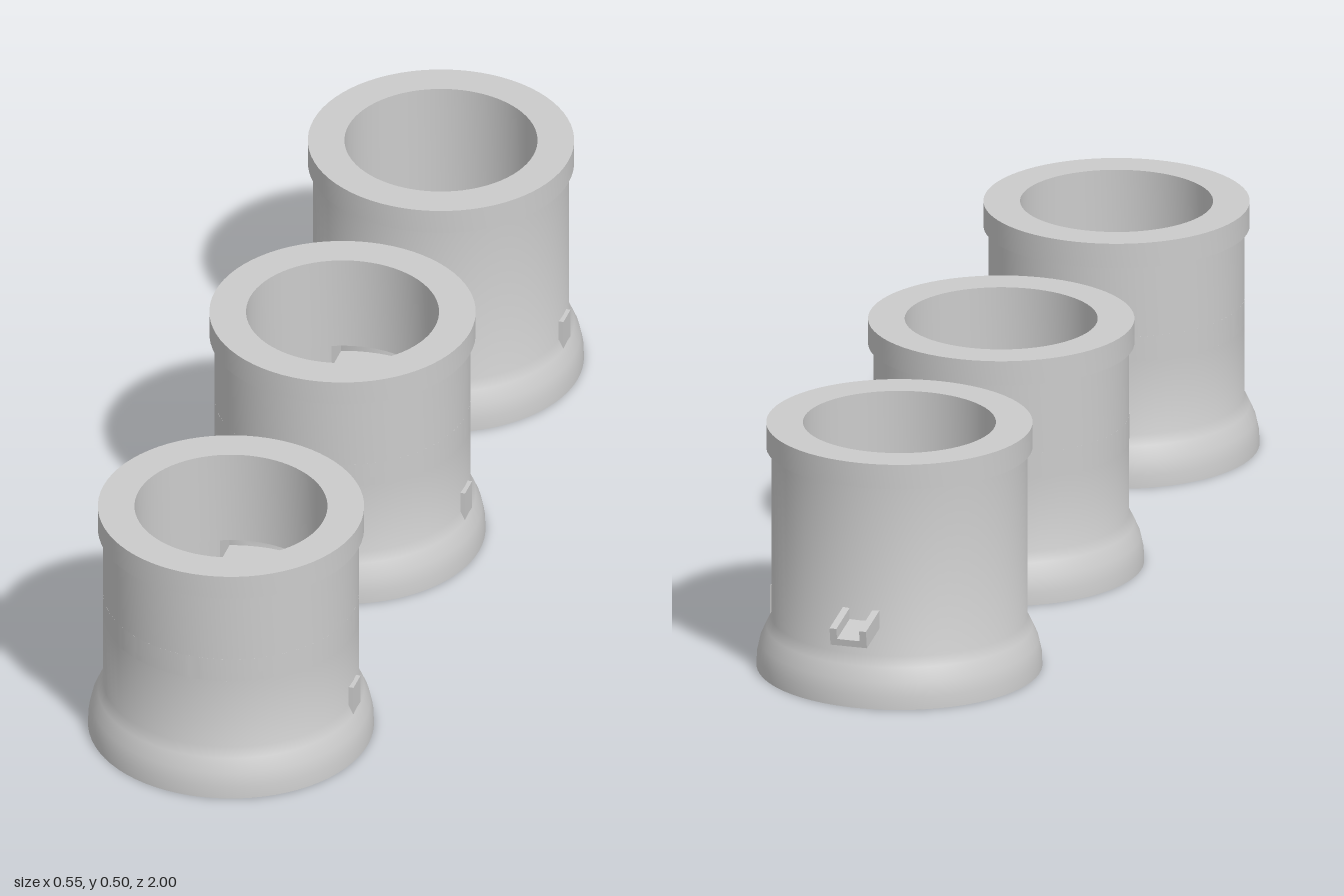
import * as THREE from 'three';
import { toCreasedNormals } from 'three/addons/utils/BufferGeometryUtils.js';

const SEG = 72;
const R_BODY = 0.248, R_IN = 0.187, R_RIM = 0.258;
const HEIGHT = 0.495, RIM_Y = 0.445, FLOOR_Y = 0.05;
const SLOT_LOW = 0.25, SLOT_HIGH = 0.3, SLOT_HALF = 0.075;

const material = new THREE.MeshStandardMaterial({ color: 0xcccccc });

function part(name, geometry) {
  const mesh = new THREE.Mesh(toCreasedNormals(geometry, 0.55), material);
  mesh.name = name;
  return mesh;
}

function lathe(points) {
  return new THREE.LatheGeometry(points.map(([r, y]) => new THREE.Vector2(r, y)), SEG);
}

// Flared foot and the rim, shared by both kinds of vessel
const foot = [[0, 0], [0.277, 0], [0.276, 0.025], [0.27, 0.053], [0.258, 0.08], [R_BODY, 0.1]];
const rim = [[R_BODY, RIM_Y], [R_RIM, RIM_Y], [R_RIM, HEIGHT], [R_IN, HEIGHT]];
const well = [[R_IN, FLOOR_Y], [0, FLOOR_Y]];

// Ring of wall with a parallel-sided gap at the back
function slottedRing() {
  const outer = Math.acos(SLOT_HALF / R_BODY), inner = Math.acos(SLOT_HALF / R_IN);
  const shape = new THREE.Shape();
  shape.absarc(0, 0, R_BODY, Math.PI - outer, Math.PI * 2 + outer, false);
  shape.absarc(0, 0, R_IN, Math.PI * 2 + inner, Math.PI - inner, true);
  shape.closePath();
  const geometry = new THREE.ExtrudeGeometry(shape, {
    depth: SLOT_HIGH - SLOT_LOW, bevelEnabled: false, curveSegments: SEG,
  });
  geometry.rotateX(-Math.PI / 2);
  geometry.translate(0, SLOT_LOW, 0);
  return geometry;
}

// Open channel sloping down and away from the back
function spout() {
  const w = 0.037, h = 0.018, t = 0.014;
  const shape = new THREE.Shape([
    [-w, -h], [w, -h], [w, h], [w - t, h], [w - t, t - h], [t - w, t - h], [t - w, h], [-w, h],
  ].map(([x, y]) => new THREE.Vector2(x, y)));
  const mesh = part('spout', new THREE.ExtrudeGeometry(shape, { depth: 0.1, bevelEnabled: false }));
  mesh.rotation.set(-0.18, Math.PI, 0);
  mesh.position.set(0, 0.177, -0.23);
  return mesh;
}

function vessel(name, z, hasSpout) {
  const group = new THREE.Group();
  group.name = name;
  group.position.z = z;

  if (hasSpout) {
    group.add(part('body', lathe([...foot, ...rim, ...well])), spout());
  } else {
    // Wall split into bands around the rear slot
    group.add(
      part('lowerBody', lathe([...foot, [R_BODY, SLOT_LOW], [R_IN, SLOT_LOW], ...well])),
      part('slottedWall', slottedRing()),
      part('upperBody', lathe([[R_IN, SLOT_HIGH], [R_BODY, SLOT_HIGH], ...rim, [R_IN, SLOT_HIGH]])),
    );
  }

  // Small tab on the left side
  const tab = part('sideTab', new THREE.BoxGeometry(0.03, 0.062, 0.047));
  tab.position.set(0.241, 0.111, 0.003);
  group.add(tab);
  return group;
}

export function createModel() {
  const model = new THREE.Group();
  model.name = 'vesselRow';
  model.add(
    vessel('frontVessel', 0.723, false),
    vessel('middleVessel', -0.017, false),
    vessel('rearVessel', -0.67, true),
  );
  return model;
}
